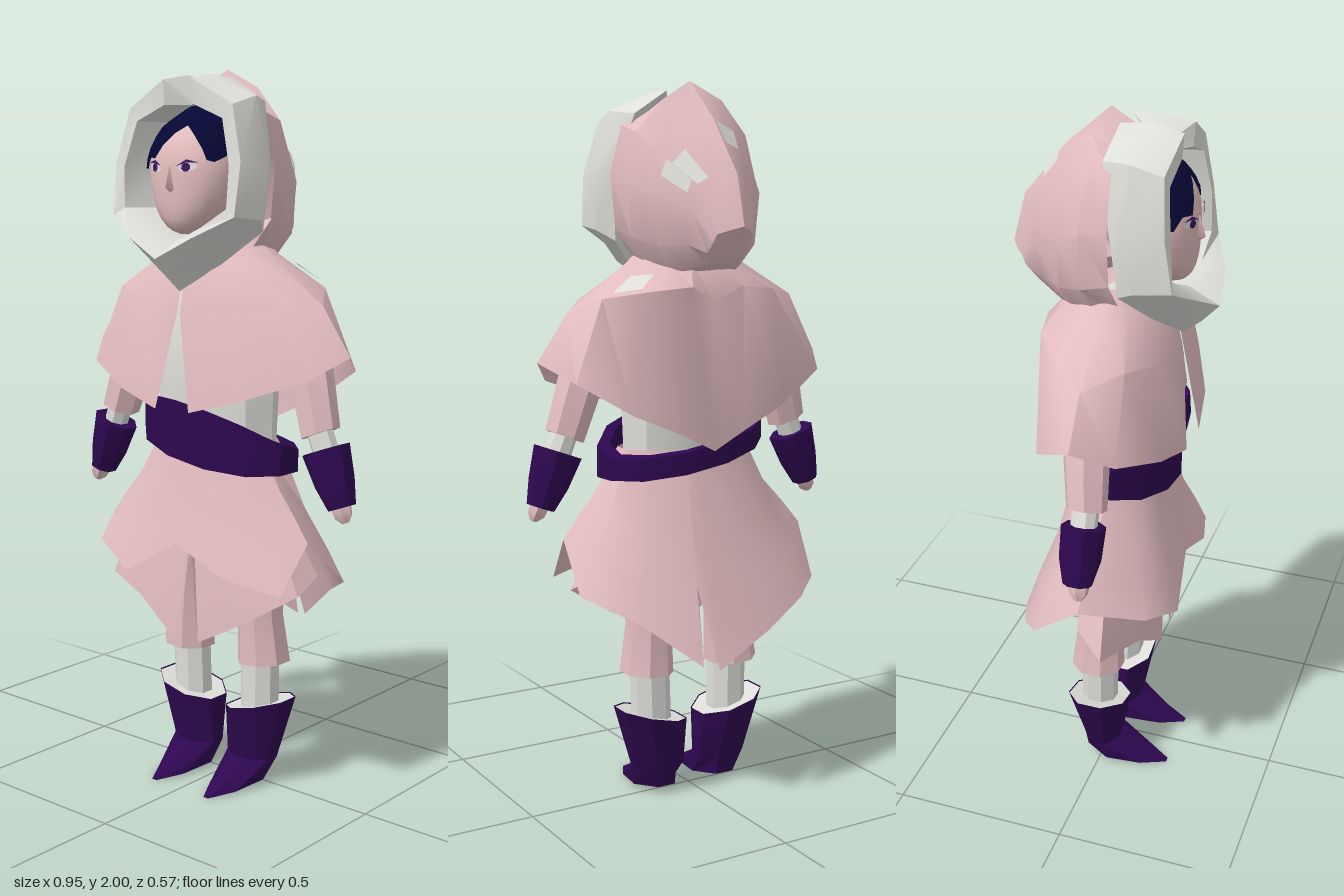
import * as THREE from 'three';
import { toCreasedNormals } from 'three/addons/utils/BufferGeometryUtils.js';

const mat = (name, color) => new THREE.MeshStandardMaterial({ name, color, side: THREE.DoubleSide });
const pink = mat('pink cloth', 0xe2bcbf), white = mat('off-white cloth', 0xdededa), purple = mat('purple leather', 0x2e0750);
const skin = mat('skin', 0xe3bdbd), navy = mat('navy hair', 0x060734), iris = mat('violet iris', 0x3a1a66), eyeWhite = mat('eye white', 0xe6dede);

// Surface through rows of points; closed rows wrap around, caps fill the end rows
function loft(rows, { closed = true, caps = false, loop = false, crease = 0.6 } = {}) {
  const n = rows[0].length, pos = rows.flat(), idx = [];
  const last = loop ? rows.length : rows.length - 1;
  for (let r = 0; r < last; r++) {
    const a = r * n, b = ((r + 1) % rows.length) * n;
    for (let i = 0; i < (closed ? n : n - 1); i++) {
      const j = (i + 1) % n;
      idx.push(a + i, a + j, b + j, a + i, b + j, b + i);
    }
  }
  if (caps) {
    const e = (rows.length - 1) * n;
    for (let i = 1; i < n - 1; i++) idx.push(0, i + 1, i, e, e + i, e + i + 1);
  }
  // turn the faces outward
  const V = pos.map(p => new THREE.Vector3(...p));
  const mid = V.reduce((s, p) => s.add(p), new THREE.Vector3()).divideScalar(V.length);
  V.forEach(p => p.sub(mid));
  let volume = 0;
  for (let i = 0; i < idx.length; i += 3) volume += V[idx[i]].dot(V[idx[i + 1]].clone().cross(V[idx[i + 2]]));
  if (volume < 0) idx.reverse();
  const g = new THREE.BufferGeometry();
  g.setAttribute('position', new THREE.Float32BufferAttribute(pos.flat(), 3));
  g.setIndex(idx);
  return toCreasedNormals(g, crease);
}

const flip = ([x, y, z]) => [-x, y, z];
const mix = (a, b, t) => a.map((v, i) => v + (b[i] - v) * t);
// Half a ring from x = 0 outward, completed by its mirror image
const mirrorRing = half => [...half, ...half.filter(p => p[0] > 0).reverse().map(flip)];
const ellipse = (n, fn) => Array.from({ length: n }, (_, i) => fn(Math.sin((i + 0.5) / n * 2 * Math.PI), Math.cos((i + 0.5) / n * 2 * Math.PI)));

// Limb along points [x, y, z, radius, depthRadius]
function limb(pts, n = 8) {
  const a = pts[0], b = pts[pts.length - 1], l = Math.hypot(b[0] - a[0], b[1] - a[1]);
  const ux = -(b[1] - a[1]) / l, uy = (b[0] - a[0]) / l;
  return loft(pts.map(([x, y, z, r, d = r]) => ellipse(n, (s, c) => [x + s * r * ux, y + s * r * uy, z + c * d])), { caps: true });
}

// Flattened front surface of the face, used for the head and everything laid on it
const jaw = b => 0.135 * (b < 0 ? 1 - 0.12 * b * b : 1);
const depth = (b, c) => 0.1 + (b < 0 ? 0.045 : -0.05) * b * b + 0.125 * Math.sign(c) * Math.abs(c) ** 0.75;
function faceZ(x, y) {
  const b = (y - 1.73) / 0.17;
  return depth(b, Math.sqrt(Math.max(0, 1 - b * b - (x / jaw(b)) ** 2)));
}

export function createModel() {
  const root = new THREE.Group();
  root.name = 'hoodedFigure';
  const add = (name, geo, material) => {
    const m = new THREE.Mesh(geo, material);
    m.name = name;
    root.add(m);
  };

  // Head
  const head = new THREE.SphereGeometry(1, 24, 18), p = head.attributes.position;
  for (let i = 0; i < p.count; i++) {
    const a = p.getX(i), b = p.getY(i), c = p.getZ(i);
    p.setXYZ(i, a * jaw(b), 1.73 + 0.17 * b, depth(b, c));
  }
  head.computeVertexNormals();
  add('head', head, skin);
  add('nose', loft([
    [[-0.006, 1.74, 0.217], [0, 1.74, 0.227], [0.006, 1.74, 0.217]],
    [[-0.018, 1.68, 0.213], [0, 1.685, 0.243], [0.018, 1.68, 0.213]],
    [[-0.012, 1.67, 0.212], [0, 1.67, 0.222], [0.012, 1.67, 0.212]]], { crease: 1.2 }), skin);

  // Eyes and lashes laid on the face
  const decal = (name, outline, lift, material) => {
    const center = outline.reduce((s, q) => [s[0] + q[0] / outline.length, s[1] + q[1] / outline.length], [0, 0]);
    add(name, loft([outline.map(() => center), outline].map(row => row.map(([x, y]) => [x, y, faceZ(x, y) + lift]))), material);
  };
  for (const s of [1, -1]) {
    decal('eye', ellipse(10, (a, c) => [s * 0.056 + 0.026 * a, 1.737 + 0.011 * c + s * a * 0.003]), 0.004, eyeWhite);
    decal('iris', ellipse(8, (a, c) => [s * 0.054 + 0.013 * a, 1.737 + 0.012 * c]), 0.007, iris);
    decal('lash', [[0.026, 1.74], [0.055, 1.75], [0.086, 1.749], [0.055, 1.757]].map(([x, y]) => [s * x, y]), 0.008, iris);
  }

  // Hair: cap over the skull and a jagged parted fringe
  const cap = new THREE.SphereGeometry(1, 20, 8, 0, Math.PI * 2, 0, 0.75);
  cap.scale(0.138, 0.177, 0.125).translate(0, 1.73, 0.065);
  add('hairCap', cap, navy);
  const fringe = [[-0.134, 1.735], [-0.115, 1.735], [-0.09, 1.765], [-0.055, 1.76], [-0.03, 1.795], [0, 1.825], [0.03, 1.845],
    [0.06, 1.82], [0.09, 1.785], [0.105, 1.755], [0.12, 1.75], [0.134, 1.765]];
  add('hairFringe', loft(fringe.map(([x, low]) => {
    const top = 1.73 + 0.175 * Math.sqrt(1 - (x / 0.15) ** 2);
    return [0, 0.25, 0.5, 0.75, 1].map(t => {
      const y = low + (top - low) * t;
      return [x, y, faceZ(x * 0.95, 1.73 + (y - 1.73) * 0.95) + 0.008];
    });
  }), { closed: false }), navy);

  // Hood, from the front rim to the point behind
  const hood = [
    [[0, 1.93, 0.11], [0.1, 1.92, 0.04], [0.18, 1.88, 0.05], [0.215, 1.75, 0.05], [0.2, 1.6, 0.05], [0.1, 1.47, 0.06]],
    [[0, 2, -0.01], [0.09, 1.95, -0.03], [0.175, 1.86, -0.02], [0.205, 1.73, -0.03], [0.195, 1.58, -0.03], [0.12, 1.47, 0]],
    [[0, 1.895, -0.13], [0.07, 1.865, -0.12], [0.135, 1.79, -0.1], [0.17, 1.7, -0.1], [0.155, 1.56, -0.1], [0.1, 1.48, -0.08]],
    [[0, 1.745, -0.25], [0.04, 1.74, -0.225], [0.08, 1.71, -0.195], [0.1, 1.65, -0.185], [0.1, 1.56, -0.17], [0.07, 1.5, -0.14]],
    [[0, 1.61, -0.285], [0.03, 1.6, -0.265], [0.055, 1.59, -0.24], [0.06, 1.57, -0.23], [0.06, 1.54, -0.2], [0.04, 1.51, -0.17]]];
  add('hood', loft([...hood.map(mirrorRing), mirrorRing(hood[4]).map(() => [0, 1.53, -0.2])]), pink);

  // Shoulder cape: columns of neck, shoulder and hem, open at the front
  const cape = [
    [[0, 1.5, 0.14], [0.004, 1.42, 0.18], [0.006, 1.35, 0.195]],
    [[0.04, 1.5, 0.14], [0.05, 1.38, 0.185], [0.06, 1.09, 0.225]],
    [[0.1, 1.5, 0.12], [0.15, 1.38, 0.17], [0.21, 1.13, 0.2]],
    [[0.16, 1.5, 0.08], [0.28, 1.41, 0.12], [0.38, 1.19, 0.13]],
    [[0.18, 1.51, 0.03], [0.36, 1.38, 0.03], [0.45, 1.25, 0.03]],
    [[0.16, 1.51, -0.03], [0.3, 1.42, -0.06], [0.39, 1.2, -0.08]],
    [[0.1, 1.51, -0.08], [0.19, 1.44, -0.14], [0.24, 1.11, -0.12]],
    [[0.05, 1.52, -0.1], [0.08, 1.45, -0.16], [0.1, 1.05, -0.14]],
    [[0, 1.51, -0.11], [0, 1.41, -0.135], [0, 1, -0.145]]];
  const capeColumns = cape.map(c => [[c[0][0] * 0.7, 1.56, c[0][2] * 0.7], ...c]);
  add('cape', loft([...capeColumns, ...capeColumns.slice(0, -1).reverse().map(c => c.map(flip))], { closed: false, crease: 0.8 }), pink);

  // Pale patches laid over one cell between two rows of hood or cape
  const patch = (rowA, rowB, i, [u0, u1], [t0, t1], lift, side = 1) => {
    const at = (u, t) => mix(mix(rowA[i], rowA[i + 1], u), mix(rowB[i], rowB[i + 1], u), t);
    const lay = (u, t) => at(u, t).map((v, k) => (v + lift[k]) * (k ? 1 : side));
    add('patch', loft([0, 0.5, 1].map(t => [0, 0.5, 1].map(u => lay(u0 + (u1 - u0) * u, t0 + (t1 - t0) * t))), { closed: false }), white);
  };
  patch(hood[2], hood[3], 0, [0, 0.9], [0.1, 0.48], [0, 0.006, -0.005], -1);
  patch(hood[2], hood[3], 1, [0.45, 1], [0.25, 0.95], [0.005, 0.005, -0.005]);
  patch(hood[2], hood[3], 2, [0, 0.5], [0.1, 0.8], [0.006, 0.004, -0.005]);
  patch(cape[5], cape[6], 0, [0.45, 0.95], [0.15, 0.75], [0.002, 0.008, -0.005]);

  // Fur trim: five-sided section swept around the face
  const trim = [
    [[0, 1.93, 0.1], [0, 1.925, 0.12], [0, 1.92, 0.135], [0, 1.9, 0.14], [0, 1.9, 0.1]],
    [[0.05, 1.975, 0.03], [0.04, 1.98, 0.11], [0.05, 1.965, 0.195], [0.05, 1.9, 0.19], [0.04, 1.9, 0.08]],
    [[0.155, 1.91, 0.02], [0.19, 1.92, 0.1], [0.18, 1.895, 0.185], [0.15, 1.86, 0.19], [0.12, 1.86, 0.07]],
    [[0.2, 1.75, 0.05], [0.235, 1.75, 0.1], [0.22, 1.75, 0.2], [0.185, 1.74, 0.205], [0.138, 1.74, 0.08]],
    [[0.19, 1.57, 0.07], [0.225, 1.6, 0.12], [0.215, 1.61, 0.22], [0.18, 1.63, 0.21], [0.125, 1.63, 0.1]],
    [[0.1, 1.485, 0.13], [0.115, 1.51, 0.2], [0.11, 1.555, 0.27], [0.09, 1.58, 0.21], [0.07, 1.575, 0.1]],
    [[0, 1.41, 0.19], [0, 1.45, 0.24], [0, 1.5, 0.287], [0, 1.545, 0.2], [0, 1.54, 0.1]]];
  add('furTrim', loft([...trim, ...trim.slice(1, -1).reverse().map(r => r.map(flip))], { loop: true }), white);

  // Torso
  add('torso', loft([[0.93, 0.19, 0.11], [1.14, 0.195, 0.125], [1.32, 0.19, 0.125], [1.5, 0.1, 0.07]]
    .map(([y, rx, rz]) => ellipse(10, (s, c) => [s * rx, y, 0.03 + c * rz])), { caps: true }), white);

  // Slanted belt, deepest at the front
  const beltRing = (k, side) => ellipse(12, (s, c) => {
    const x = 0.005 + s * 0.257 * k, z = 0.03 + c * 0.15 * k;
    return [x, 1 - 0.17 * x + 0.15 * (z - 0.03) + side * (0.031 + 0.05 * Math.max(0, c)), z];
  });
  add('belt', loft([beltRing(1, -1), beltRing(1, 1), beltRing(0.85, 1), beltRing(0.85, -1)], { loop: true }), purple);

  // Skirt: ragged hem, split at the back
  const hem = [[0, 0.72, 0.215], [0.18, 0.65, 0.22], [0.34, 0.62, 0.18], [0.355, 0.75, 0.08], [0.375, 0.62, -0.06], [0.25, 0.55, -0.17],
    [0.1, 0.43, -0.25], [0.085, 0.64, -0.19], [0.06, 0.42, -0.27], [-0.12, 0.5, -0.24], [-0.27, 0.56, -0.18], [-0.35, 0.6, -0.12],
    [-0.405, 0.73, 0.03], [-0.31, 0.68, 0.19], [-0.16, 0.62, 0.24]];
  const skirtColumn = ([x, y, z]) => {
    const a = Math.atan2(x / 0.37, z / 0.23), w = [Math.sin(a) * 0.2, 1, 0.03 + Math.cos(a) * 0.12];
    return [[0, 0], [0.48, 0.4], [0.76, 0.74], [1, 1]].map(([t, u]) => [w[0] + (x - w[0]) * u, w[1] + (y - w[1]) * t, w[2] + (z - w[2]) * u]);
  };
  add('skirt', loft([...hem, hem[0]].map(skirtColumn), { closed: false, crease: 0.8 }), pink);
  const underHem = [[-0.33, 0.62, 0.0], [-0.365, 0.55, 0.08], [-0.2, 0.52, 0.14], [-0.04, 0.41, 0.16], [0, 0.72, 0.15],
    [0.035, 0.43, 0.16], [0.17, 0.5, 0.15], [0.33, 0.6, 0.09], [0.33, 0.64, 0]];
  add('underskirt', loft(underHem.map(([x, y, z]) => [[x * 0.55, 0.9, z * 0.7], [x * 0.8, 0.74, z * 0.9], [x, y, z]]), { closed: false }), pink);

  // Arms and legs on both sides
  for (const s of [1, -1]) {
    const part = (name, pts, material, n) => add(name, limb(pts.map(([x, ...r]) => [s * x, ...r]), n), material);
    part('sleeve', [[0.24, 1.36, 0.02, 0.06], [0.32, 1.2, 0.03, 0.064], [0.365, 1.045, 0.045, 0.056]], pink, 7);
    part('forearm', [[0.345, 1.1, 0.045, 0.036], [0.405, 0.95, 0.045, 0.036]], white);
    part('glove', [[0.385, 1.005, 0.045, 0.07, 0.058], [0.415, 0.92, 0.045, 0.056], [0.44, 0.855, 0.045, 0.039]], purple);
    part('hand', [[0.438, 0.865, 0.05, 0.03], [0.45, 0.835, 0.052, 0.026], [0.459, 0.818, 0.054, 0.01]], skin, 6);
    part('trouserLeg', [[0.1, 0.95, 0.02, 0.09], [0.125, 0.62, 0, 0.078], [0.13, 0.5, 0, 0.066], [0.14, 0.36, -0.005, 0.077]], pink);
    part('shin', [[0.13, 0.45, 0, 0.058, 0.052], [0.125, 0.2, -0.005, 0.058, 0.052]], white);

    // Boot with slanted cuff and pointed toe
    const ring = (y, cx, rx, cz, rz, tilt = 0) => ellipse(8, (a, c) => [s * (cx + a * rx), y + a * rx * tilt, cz + c * rz]);
    const cuff = ring(0.237, 0.128, 0.108, -0.005, 0.092, 0.25);
    const sole = ellipse(8, (a, c) => [s * (0.098 + a * 0.072 * (c > 0 ? 1 - 0.75 * c : 1)), 0.012 - c * 0.012, 0.078 + c * 0.133]);
    add('boot', loft([cuff, ring(0.075, 0.102, 0.08, 0, 0.056), sole, sole.map(() => [s * 0.098, 0.008, 0.08])]), purple);
    add('bootLining', loft([ring(0.234, 0.128, 0.106, -0.005, 0.09, 0.25), cuff.map(() => [s * 0.128, 0.225, -0.005])]), white);
  }
  return root;
}
